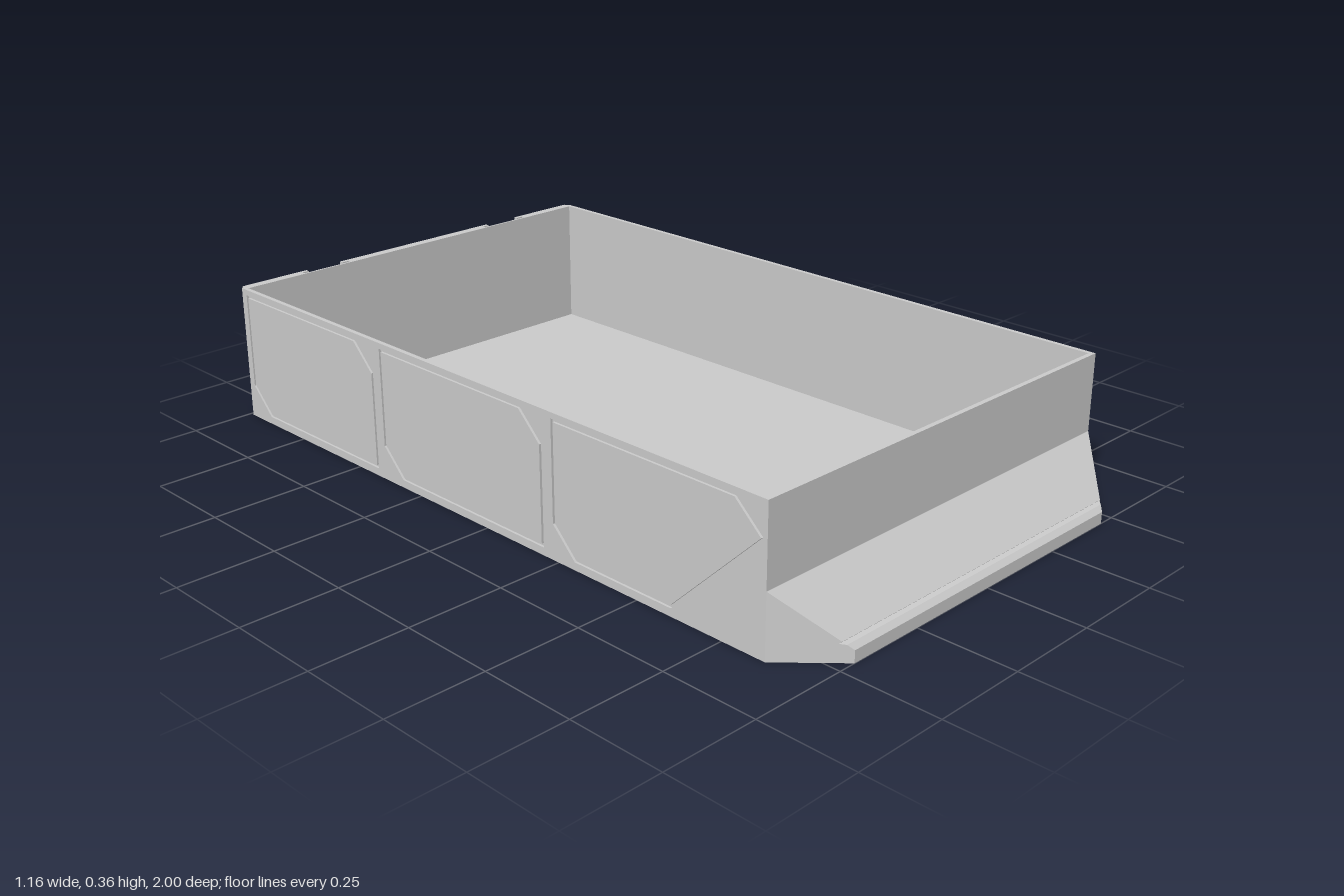
import * as THREE from 'three';

const mat = new THREE.MeshStandardMaterial({ color: 0xcccccc, side: THREE.DoubleSide, flatShading: true });
const H = 0.36, W = 0.58, FRONT = 0.87;

const toVectors = (pts) => pts.map(([x, y]) => new THREE.Vector2(x, y));

// Plate cut from an outline, with optional holes
function plate(pts, depth, holes = []) {
  const shape = new THREE.Shape(toVectors(pts));
  holes.forEach((h) => shape.holes.push(new THREE.Path(toVectors(h))));
  return new THREE.ExtrudeGeometry(shape, { depth, bevelEnabled: false });
}

const rect = (x0, x1, y0, y1) => [[x0, y0], [x1, y0], [x1, y1], [x0, y1]];

// Shrinks an outline by d on every side
function inset(pts, d) {
  const range = [0, 1].map((k) => {
    const v = pts.map((p) => p[k]);
    return [Math.min(...v), Math.max(...v)];
  });
  return pts.map((p) => p.map((c, k) => {
    const [a, b] = range[k], mid = (a + b) / 2;
    return mid + (c - mid) * (b - a - 2 * d) / (b - a);
  }));
}

// Faces given as corner loops, split into triangle fans
function facets(loops) {
  const pos = [];
  for (const l of loops)
    for (let i = 1; i < l.length - 1; i++) pos.push(...l[0], ...l[i], ...l[i + 1]);
  const g = new THREE.BufferGeometry();
  g.setAttribute('position', new THREE.Float32BufferAttribute(pos, 3));
  g.computeVertexNormals();
  return g;
}

// Panel with cut corners at the top of its high end and, optionally, the bottom of its low end
const cutPanel = (lo, hi, c) => [
  [lo + c, 0.02], [hi, 0.02], [hi, 0.345 - c], [hi - c, 0.345], [lo, 0.345], [lo, 0.02 + c],
];

export function createModel() {
  const group = new THREE.Group();
  const add = (name, geo, x = 0, y = 0, z = 0, parent = group) => {
    const m = new THREE.Mesh(geo, mat);
    m.name = name;
    m.position.set(x, y, z);
    parent.add(m);
    return m;
  };

  // Floor and front wall
  add('floor', new THREE.BoxGeometry(1.14, 0.012, 1.85), 0, 0.006, -0.06);
  add('frontWall', new THREE.BoxGeometry(2 * W, H, 0.012), 0, H / 2, FRONT - 0.006);

  // Side walls: backing sheet, frame and panels separated by thin grooves
  const sidePanels = [
    [[0.603, 0.02], [0.86, 0.275], [0.785, 0.345], [0.233, 0.345], [0.233, 0.09], [0.303, 0.02]],
    cutPanel(-0.39, 0.20, 0.07),
    cutPanel(-0.968, -0.42, 0.07),
  ];
  for (const s of [1, -1]) {
    const side = new THREE.Group();
    side.name = s > 0 ? 'leftWall' : 'rightWall';
    group.add(side);
    const layer = (name, geo, outer) => {
      geo.rotateY(-Math.PI / 2);
      add(name, geo, s > 0 ? outer : 0.006 - outer, 0, 0, side);
    };
    layer('wallSheet', plate(rect(-0.994, FRONT, 0, H), 0.006), W - 0.006);
    layer('wallFrame', plate(rect(-0.988, FRONT, 0, H), 0.006, sidePanels), W);
    sidePanels.forEach((p) => layer('wallPanel', plate(inset(p, 0.007), 0.006), W));
  }

  // Back wall: backing sheet plus two layers with recesses and stepped top slots
  const backPanels = [cutPanel(0.41, 0.55, 0.045), cutPanel(-0.235, 0.235, 0.045), cutPanel(-0.55, -0.41, 0.045)];
  const slotted = (half) => {
    const pts = [[-0.57, 0], [0.57, 0], [0.57, H]];
    for (const c of [0.315, -0.315])
      pts.push([c + half, H], [c + half, 0.21], [c - half, 0.21], [c - half, H]);
    return [...pts, [-0.57, H]];
  };
  add('backSheet', plate(rect(-0.57, 0.57, 0, H), 0.005), 0, 0, -0.98);
  add('backInnerLayer', plate(slotted(0.075), 0.009, backPanels), 0, 0, -0.989);
  add('backOuterLayer', plate(slotted(0.055), 0.011, backPanels), 0, 0, -1);
  for (const p of backPanels) {
    const q = inset(p, 0.018);
    add('recessBevel', facets(p.map((a, i) => {
      const j = (i + 1) % p.length;
      return [[...a, -1], [...q[i], -0.98], [...q[j], -0.98], [...p[j], -1]];
    })));
  }

  // Front lip: hollow sloped shell with a fine groove and mitred ends
  const halfWidth = (z) => W - (z - FRONT) * 0.96;
  const outer = [[0.16, FRONT], [0.049, 0.981], [0.044, 0.976], [0.042, 0.988], [0.03, 1], [0, 1]];
  const profile = [...outer, [0, 0.988], [0.026, 0.988], [0.144, FRONT]];
  const at = ([y, z], s) => [s * halfWidth(z), y, z];
  const lip = [];
  for (let i = 0; i < profile.length - 1; i++) {
    const a = profile[i], b = profile[i + 1];
    lip.push([at(a, -1), at(b, -1), at(b, 1), at(a, 1)]);
  }
  add('frontLip', facets(lip));
  for (const s of [1, -1]) {
    const end = [[0, FRONT], ...outer].map((p) => at(p, s));
    add('lipEnd', facets([s > 0 ? end.reverse() : end]));
    // Stiffening rib under the lip
    const rib = plate([[FRONT, 0], [0.988, 0], [0.988, 0.026], [FRONT, 0.144]], 0.012);
    rib.rotateY(-Math.PI / 2);
    add('lipRib', rib, s * 0.13 + 0.006);
  }
  return group;
}
